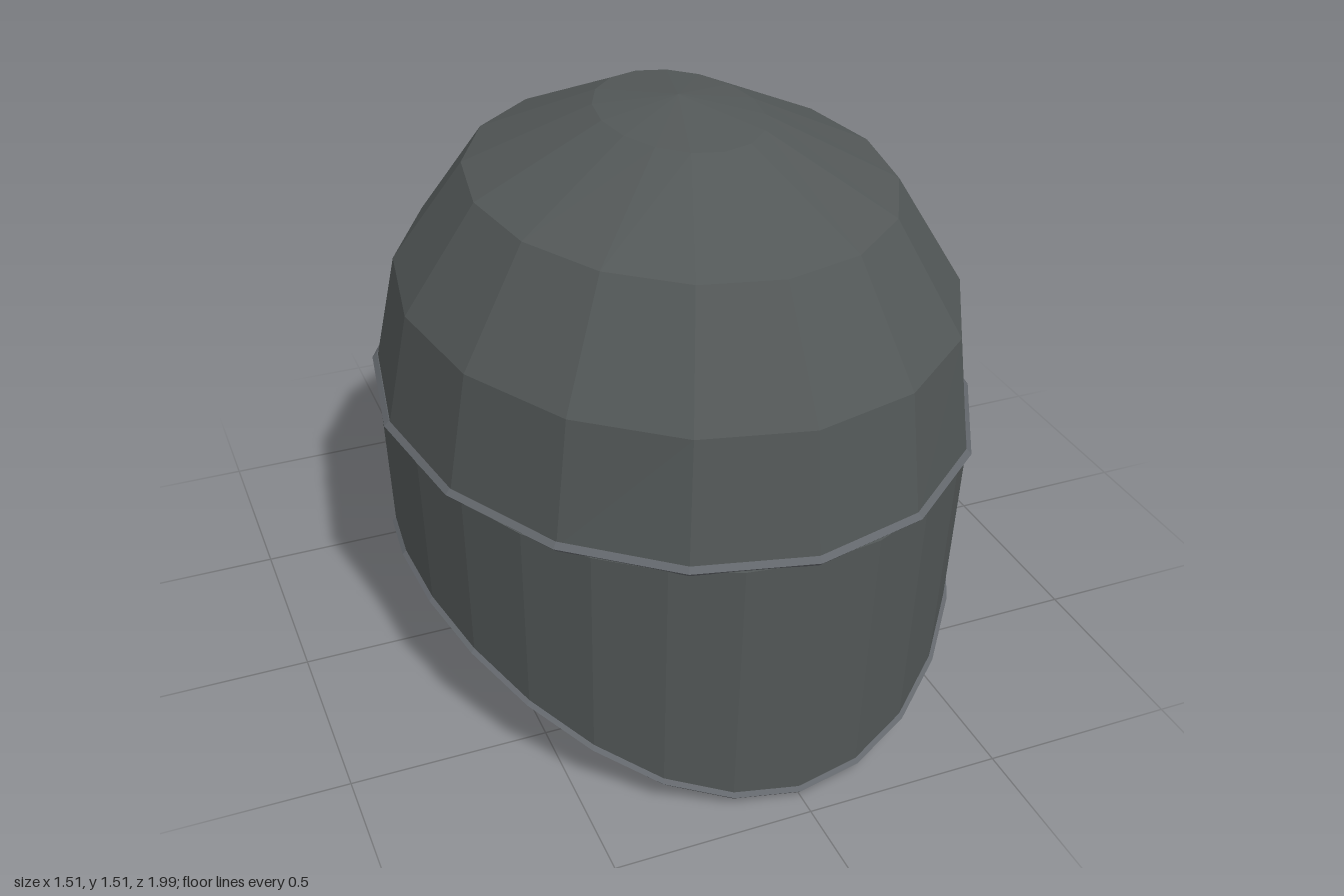
import * as THREE from 'three';

const shellMat = new THREE.MeshStandardMaterial({ color: 0x535858, side: THREE.DoubleSide });
shellMat.name = 'dark grey shell';
const trimMat = new THREE.MeshStandardMaterial({ color: 0x63676c, side: THREE.DoubleSide });
trimMat.name = 'grey trim';

// Faceted surface through rows of points
function skin(name, rows, material) {
  const pos = [];
  for (let j = 0; j < rows.length - 1; j++) {
    for (let i = 0; i < rows[j].length - 1; i++) {
      const a = rows[j][i], b = rows[j][i + 1], c = rows[j + 1][i + 1], d = rows[j + 1][i];
      for (const [p, q, r] of [[a, b, c], [a, c, d]]) {
        const area = q.clone().sub(p).cross(r.clone().sub(p)).length();
        if (area > 1e-9) for (const v of [p, q, r]) pos.push(v.x, v.y, v.z);
      }
    }
  }
  const geo = new THREE.BufferGeometry();
  geo.setAttribute('position', new THREE.Float32BufferAttribute(pos, 3));
  geo.computeVertexNormals();
  const mesh = new THREE.Mesh(geo, material);
  mesh.name = name;
  return mesh;
}

// Point on an oval ring; angle 0 is the front
const oval = (a, rx, rz, cz, y) => new THREE.Vector3(rx * Math.sin(a), y, cz + rz * Math.cos(a));
const angles = (n, from, to) => Array.from({ length: n + 1 }, (_, i) => from + (to - from) * i / n);

// Diamond-section bead: offsets outward and upward
const bead = (r) => [[0, -r], [r, 0], [0, r], [-r, 0], [0, -r]];

export function createModel() {
  const model = new THREE.Group();
  model.name = 'helmet';

  // Dome: height, half width, half depth, centre z
  const around = angles(16, 0, Math.PI * 2);
  const domeRings = [
    [0.72, 0.742, 0.91, 0.07], [1.04, 0.692, 0.832, 0.113], [1.32, 0.515, 0.63, 0.14],
    [1.477, 0.195, 0.28, 0.14], [1.515, 0, 0, 0.14],
  ];
  model.add(skin('dome', domeRings.map(([y, rx, rz, cz]) => around.map((a) => oval(a, rx, rz, cz, y))), shellMat));
  model.add(skin('domeRim', bead(0.013).map(([o, u]) =>
    around.map((a) => oval(a, 0.742 + o, 0.908 + o, 0.07, 0.722 + u))), trimMat));

  // Face guard: wraps the front and sides, lowest in the middle
  const halfEdge = [0.018, 0.034, 0.075, 0.138, 0.202, 0.262, 0.304, 0.322, 0.297];
  const sweep = 104 * Math.PI / 180;
  const guardAngles = angles(16, -sweep, sweep);
  const edgeY = (i) => halfEdge[Math.abs(i - 8)];
  const t = 0.016;
  const guardRows = [
    guardAngles.map((a, i) => oval(a, 0.722, 0.862, 0.07, edgeY(i))),
    guardAngles.map((a) => oval(a, 0.738, 0.905, 0.07, 0.715)),
    guardAngles.map((a) => oval(a, 0.738 - t, 0.905 - t, 0.07, 0.715)),
    guardAngles.map((a, i) => oval(a, 0.722 - t, 0.862 - t, 0.07, edgeY(i))),
  ];
  guardRows.push(guardRows[0]);
  model.add(skin('faceGuard', guardRows, shellMat));

  // End faces of the guard
  for (const i of [0, 16]) {
    const [a, b, c, d] = guardRows.map((row) => row[i]);
    model.add(skin(i ? 'guardEndLeft' : 'guardEndRight', i ? [[a, d], [b, c]] : [[d, a], [c, b]], shellMat));
  }

  // Bead along the lower edge of the guard
  model.add(skin('guardRim', bead(0.013).map(([o, u]) =>
    guardAngles.map((a, i) => oval(a, 0.719 + o, 0.859 + o, 0.07, edgeY(i) + u - 0.004))), trimMat));

  // Rear tab: height, z, half width, from tip to top
  const tabStations = [
    [0.155, -0.991, 0.03], [0.23, -0.98, 0.055], [0.37, -0.957, 0.066], [0.58, -0.91, 0.072], [0.79, -0.862, 0.077],
  ];
  const h = 0.009;
  const tabRows = tabStations.map(([y, z, w]) =>
    [[-w, h], [w, h], [w, -h], [-w, -h], [-w, h]].map(([x, dz]) => new THREE.Vector3(x, y, z + dz)));
  const collapse = ([y, z]) => Array.from({ length: 5 }, () => new THREE.Vector3(0, y, z));
  tabRows.unshift(collapse(tabStations[0]));
  tabRows.push(collapse(tabStations[4]));
  model.add(skin('rearTab', tabRows, shellMat));

  // Rivet on the tab
  const rivet = new THREE.Mesh(new THREE.CylinderGeometry(0.006, 0.015, 0.03, 8), trimMat);
  rivet.name = 'tabRivet';
  rivet.rotation.x = -Math.PI / 2;
  rivet.position.set(0, 0.755, -0.89);
  model.add(rivet);

  return model;
}
